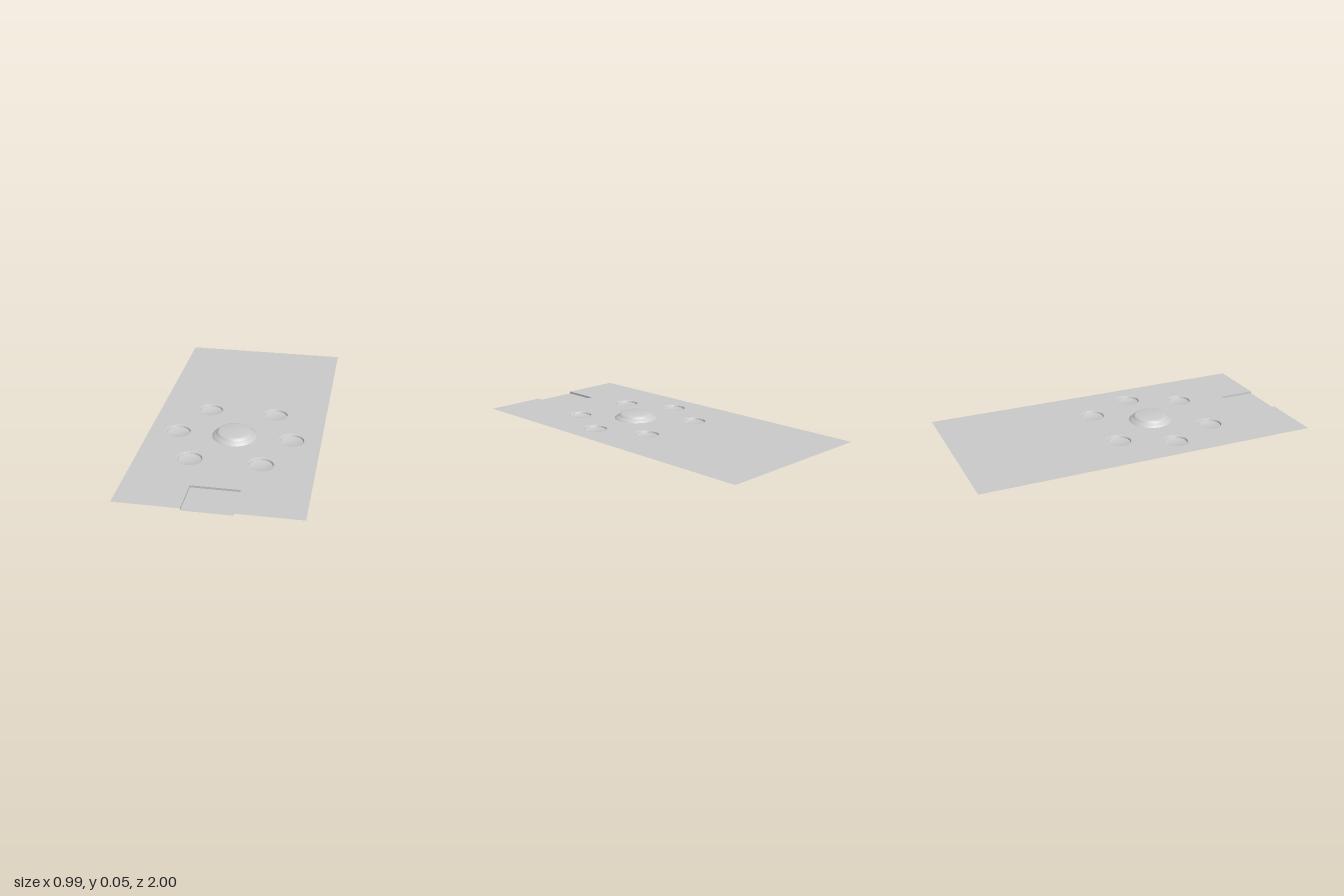
import * as THREE from 'three';
import { toCreasedNormals } from 'three/addons/utils/BufferGeometryUtils.js';

const TOP = 0.0125; // height of the sheet
const HALF_W = 0.496;
const NOTCH_W = 0.135;
const NOTCH_Z = 0.78;
const CENTRE_Z = 0.21;

export function createModel() {
  const group = new THREE.Group();
  const material = new THREE.MeshStandardMaterial({ color: 0xcccccc, side: THREE.DoubleSide });

  const add = (name, geometry, x = 0, y = 0, z = 0) => {
    const mesh = new THREE.Mesh(geometry, material);
    mesh.name = name;
    mesh.position.set(x, y, z);
    group.add(mesh);
    return mesh;
  };
  const lathe = (points, segments) => toCreasedNormals(
    new THREE.LatheGeometry(points.map(([r, y]) => new THREE.Vector2(r, y)), segments), 0.5);

  // Six wells in a ring around the hub
  const wells = [];
  for (const side of [-1, 1]) {
    wells.push([side * 0.197, -0.085], [side * 0.33, CENTRE_Z], [side * 0.197, 0.505]);
  }

  // Thin sheet with well openings and a notch in the front edge
  const v = (x, z) => new THREE.Vector2(x, -z);
  const outline = new THREE.Shape([
    v(-HALF_W, 1), v(-NOTCH_W, 1), v(-NOTCH_W, NOTCH_Z), v(NOTCH_W, NOTCH_Z),
    v(NOTCH_W, 1), v(HALF_W, 1), v(HALF_W, -1), v(-HALF_W, -1),
  ]);
  for (const [x, z] of wells) {
    outline.holes.push(new THREE.Path().absarc(x, -z, 0.077, 0, Math.PI * 2, true));
  }
  add('sheet', new THREE.ShapeGeometry(outline, 24).rotateX(-Math.PI / 2), 0, TOP, 0);

  // Recessed notch: floor, back wall and two side walls, open at the front
  const depth = 1 - NOTCH_Z;
  const midZ = NOTCH_Z + depth / 2;
  add('notchFloor', new THREE.PlaneGeometry(NOTCH_W * 2, depth).rotateX(-Math.PI / 2), 0, 0, midZ);
  add('notchBackWall', new THREE.PlaneGeometry(NOTCH_W * 2, TOP), 0, TOP / 2, NOTCH_Z);
  for (const side of [-1, 1]) {
    add('notchSideWall', new THREE.PlaneGeometry(depth, TOP).rotateY(-side * Math.PI / 2),
      side * NOTCH_W, TOP / 2, midZ);
  }

  // Wells: rounded lip, short wall and flat floor
  const wellGeometry = lathe([
    [0, 0], [0.065, 0], [0.066, 0.007], [0.068, 0.010], [0.072, 0.012], [0.077, TOP],
  ], 48);
  for (const [x, z] of wells) add('well', wellGeometry, x, 0, z);

  // Stepped raised hub
  add('hub', lathe([
    [0.129, TOP], [0.126, 0.016], [0.119, 0.022], [0.111, 0.028], [0.107, 0.030],
    [0.105, 0.033], [0.099, 0.039], [0.094, 0.043], [0.085, 0.045], [0, 0.045],
  ], 48), 0, 0, CENTRE_Z);

  // Shallow round boss under the hub
  add('hubBoss', new THREE.CylinderGeometry(0.105, 0.105, TOP, 48), 0, TOP / 2, 0.245);

  return group;
}
